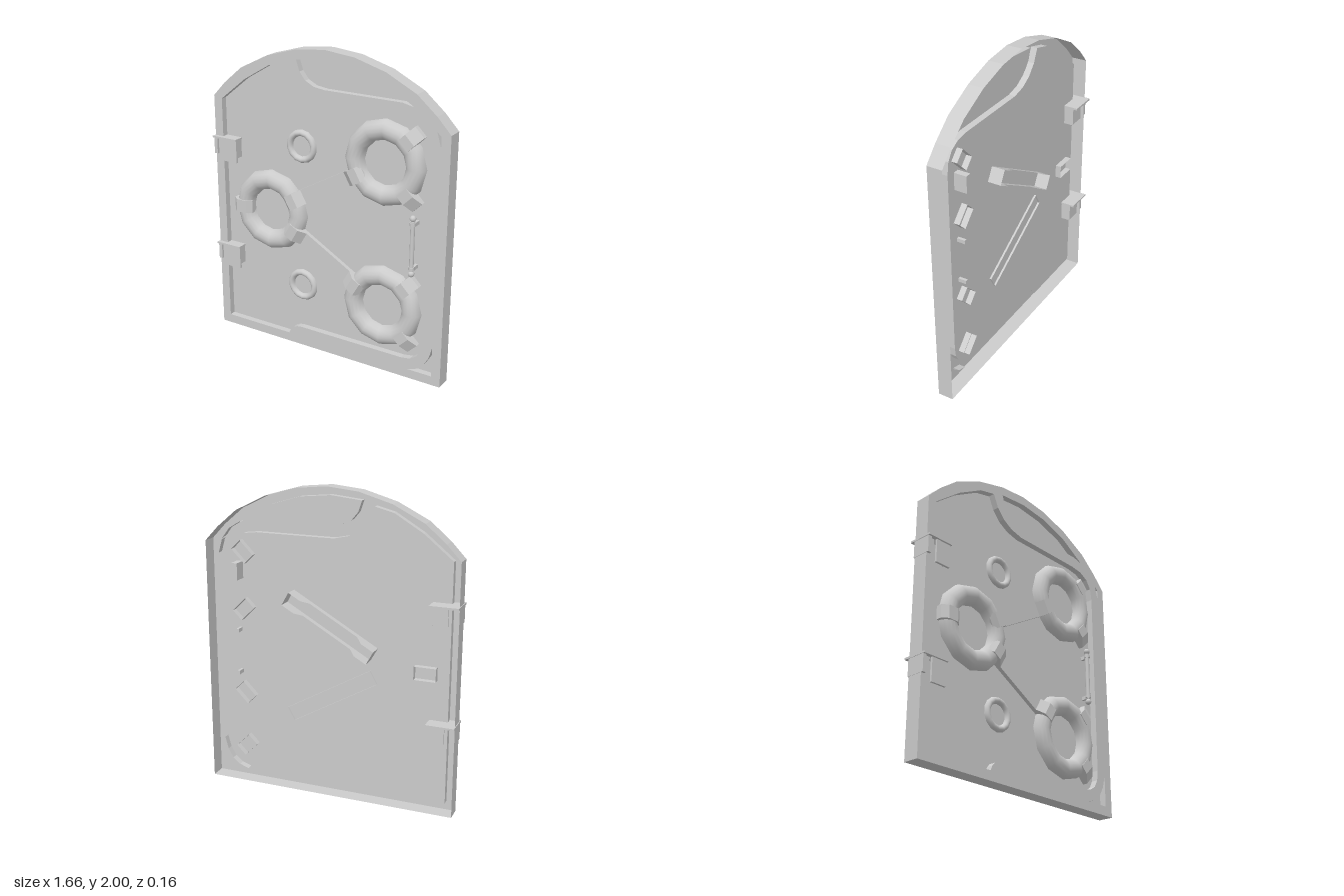
import * as THREE from 'three';

const grey = new THREE.MeshStandardMaterial({ color: 0xcccccc, side: THREE.DoubleSide });
const flat = new THREE.MeshStandardMaterial({ color: 0xcccccc, side: THREE.DoubleSide, flatShading: true });
const FRONT = 0.05, BACK = -0.05, PANEL = 0.008;

function add(parent, name, geometry, material = flat) {
  const mesh = new THREE.Mesh(geometry, material);
  mesh.name = name;
  parent.add(mesh);
  return mesh;
}

function box(parent, name, x0, x1, y0, y1, z0, z1) {
  const g = new THREE.BoxGeometry(x1 - x0, y1 - y0, z1 - z0);
  return add(parent, name, g.translate((x0 + x1) / 2, (y0 + y1) / 2, (z0 + z1) / 2));
}

function fromQuads(quads) {
  const pos = [];
  for (const [a, b, c, d] of quads) pos.push(...a, ...b, ...c, ...a, ...c, ...d);
  const g = new THREE.BufferGeometry();
  g.setAttribute('position', new THREE.Float32BufferAttribute(pos, 3));
  g.computeVertexNormals();
  return g;
}

// Ribbon following a closed outline between two depths
function wall(points, z0, z1) {
  return fromQuads(points.map((p, i) => {
    const q = points[(i + 1) % points.length];
    return [[p.x, p.y, z0], [q.x, q.y, z0], [q.x, q.y, z1], [p.x, p.y, z1]];
  }));
}

// Open-backed strap along +x; stations are [distance, front z, back z]
function strap(stations, width) {
  const w = width / 2, quads = [];
  const rows = stations.map(([s, f, b]) => [[s, -w, b], [s, -w, f], [s, w, f], [s, w, b]]);
  for (let i = 0; i + 1 < rows.length; i++)
    for (let k = 0; k < 3; k++)
      quads.push([rows[i][k], rows[i + 1][k], rows[i + 1][k + 1], rows[i][k + 1]]);
  const last = rows[rows.length - 1];
  quads.push([...rows[0]].reverse(), last);
  return fromQuads(quads);
}

// Half-round ring lying on the panel
function ring(parent, name, x, y, radius, tube, height, sides) {
  const profile = [];
  for (let i = 0; i <= 8; i++) {
    const a = Math.PI * i / 8;
    profile.push(new THREE.Vector2(radius + tube * Math.cos(a), height * Math.sin(a)));
  }
  const g = new THREE.LatheGeometry(profile, sides).rotateX(Math.PI / 2);
  add(parent, name, g, grey).position.set(x, y, PANEL);
}

function outlineOf(path) {
  const pts = path.getPoints(4);
  if (pts[0].distanceTo(pts[pts.length - 1]) < 1e-6) pts.pop();
  return pts;
}

export function createModel() {
  const door = new THREE.Group();
  door.name = 'door';

  // Arched outer outline
  const half = [[0.83, 1.615], [0.74, 1.71], [0.61, 1.82], [0.41, 1.92], [0.2, 1.98]];
  const outer = [[-0.83, 0], [0.83, 0], ...half, [0, 2],
    ...[...half].reverse().map(([x, y]) => [-x, y])].map(p => new THREE.Vector2(...p));

  // Main recess
  const main = new THREE.Shape();
  main.moveTo(-0.77, 0.06).lineTo(-0.28, 0.06);
  main.quadraticCurveTo(-0.26, 0.13, -0.18, 0.13).lineTo(0.56, 0.13);
  main.quadraticCurveTo(0.7, 0.13, 0.7, 0.28).lineTo(0.7, 1.5);
  main.quadraticCurveTo(0.7, 1.68, 0.5, 1.68).lineTo(-0.02, 1.68);
  main.quadraticCurveTo(-0.22, 1.7, -0.28, 1.89);
  main.lineTo(-0.4, 1.86).lineTo(-0.585, 1.75).lineTo(-0.77, 1.6).closePath();

  // Recess under the arch
  const arch = new THREE.Shape();
  arch.moveTo(-0.2, 1.92).quadraticCurveTo(-0.17, 1.76, 0, 1.76).lineTo(0.52, 1.76);
  arch.quadraticCurveTo(0.74, 1.74, 0.77, 1.53).lineTo(0.77, 1.6);
  arch.lineTo(0.585, 1.75).lineTo(0.4, 1.86).lineTo(0.2, 1.92).lineTo(0, 1.94).closePath();

  // Recess in the lower corner
  const corner = new THREE.Shape();
  corner.moveTo(0.6, 0.06).lineTo(0.77, 0.06).lineTo(0.77, 0.26);
  corner.quadraticCurveTo(0.74, 0.08, 0.6, 0.06);

  // Frame shell, open at the back, with the recessed panels
  const face = new THREE.Shape(outer);
  add(door, 'frameEdge', wall(outer, BACK, FRONT));
  for (const [name, path] of [['mainPanel', main], ['archPanel', arch], ['cornerPanel', corner]]) {
    const pts = outlineOf(path);
    face.holes.push(new THREE.Path(pts));
    add(door, name, new THREE.ShapeGeometry(new THREE.Shape(pts)).translate(0, 0, PANEL));
    add(door, name + 'Wall', wall(pts, PANEL, FRONT));
  }
  add(door, 'frameFace', new THREE.ShapeGeometry(face).translate(0, 0, FRONT));

  // Three large rings and two small ones
  const left = [-0.42, 0.905], upper = [0.4, 1.37], lower = [0.4, 0.435];
  for (const c of [left, upper, lower]) ring(door, 'largeRing', ...c, 0.206, 0.064, 0.064, 12);
  for (const y of [1.37, 0.425]) ring(door, 'smallRing', -0.19, y, 0.087, 0.021, 0.025, 14);

  // Clamps on the rings
  const clamp = (c, angle, stations) => {
    const m = add(door, 'clamp', strap(stations, 0.085));
    m.position.set(...c, 0);
    m.rotation.z = angle;
  };
  clamp(left, Math.PI, [[0.135, 0.05, -0.03], [0.17, 0.078, -0.03], [0.24, 0.078, -0.03], [0.275, 0.045, -0.03]]);
  for (const c of [upper, lower])
    for (const s of [1, -1])
      clamp(c, s * Math.PI / 4, [[0.2, 0.076, -0.03], [0.26, 0.076, -0.03], [0.325, 0.04, -0.03]]);
  box(door, 'clampTail', 0.6, 0.64, 1.38, 1.49, -0.075, PANEL);

  // Connecting straps between the rings
  for (const [target, deep, shallow] of [[upper, -0.08, -0.03], [lower, -0.005, -0.005]]) {
    const dx = target[0] - left[0], dy = target[1] - left[1], len = Math.hypot(dx, dy);
    const end = [[0.15, 0.05, deep], [0.18, 0.078, deep], [0.24, 0.076, deep], [0.29, 0.035, shallow]];
    const m = add(door, 'connectingStrap',
      strap([...end, ...[...end].reverse().map(([s, f, b]) => [len - s, f, b])], 0.095));
    m.position.set(...left, 0);
    m.rotation.z = Math.atan2(dy, dx);
  }

  // Hinges
  for (const y of [1.35, 0.605]) {
    const hinge = new THREE.Group();
    hinge.name = 'hinge';
    hinge.position.y = y;
    door.add(hinge);
    box(hinge, 'hingeCap', -0.835, -0.653, -0.012, 0, -0.085, 0.078);
    box(hinge, 'hingeFrontLeaf', -0.765, -0.658, -0.16, -0.012, 0.052, 0.066);
    box(hinge, 'hingeBackLeaf', -0.765, -0.658, -0.125, -0.012, -0.056, -0.046);
    box(hinge, 'hingeInnerLeaf', -0.668, -0.658, -0.13, -0.012, -0.05, 0.06);
    box(hinge, 'hingeOuterLeaf', -0.832, -0.808, -0.12, -0.012, -0.056, 0.066);
  }

  // Pull handle with turned ends and brackets
  const handle = new THREE.Group();
  handle.name = 'handle';
  handle.position.set(0.615, 0.9, 0.06);
  door.add(handle);
  add(handle, 'handleBar', new THREE.CylinderGeometry(0.014, 0.014, 0.32, 10), grey);
  for (const s of [1, -1]) {
    add(handle, 'handleKnob', new THREE.SphereGeometry(0.02, 10, 8), grey).position.y = s * 0.178;
    add(handle, 'handleCollar', new THREE.CylinderGeometry(0.019, 0.019, 0.018, 10), grey).position.y = s * 0.142;
    box(handle, 'handleBracket', 0, 0.018, s * 0.142 - 0.012, s * 0.142 + 0.012, -0.105, 0);
  }
  return door;
}
